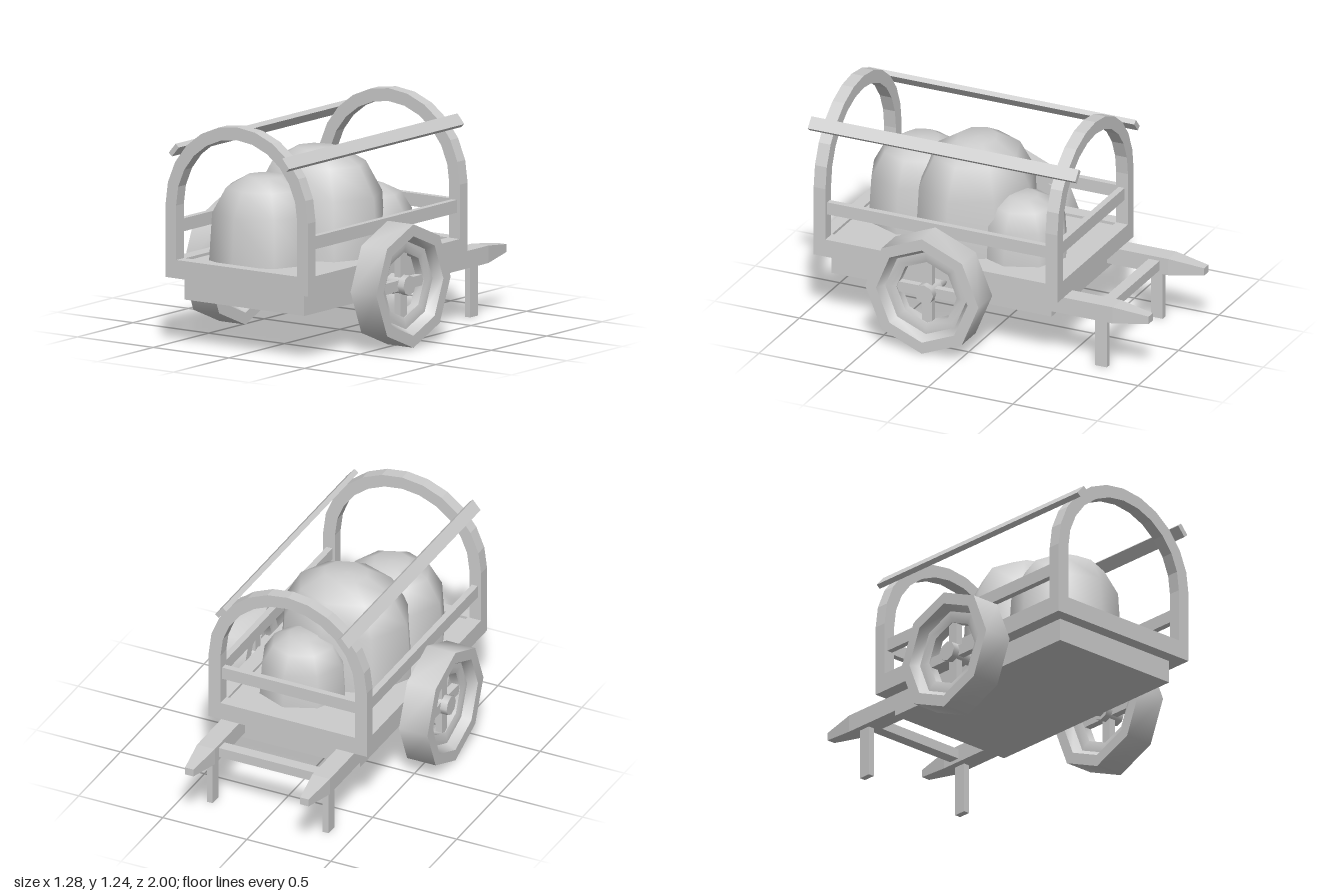
import * as THREE from 'three';
import { toCreasedNormals } from 'three/addons/utils/BufferGeometryUtils.js';

export function createModel() {
  const cart = new THREE.Group();
  cart.name = 'handcart';
  const mat = new THREE.MeshStandardMaterial({ color: 0xcccccc });

  const add = (name, geometry, parent = cart) => {
    const mesh = new THREE.Mesh(geometry, mat);
    mesh.name = name;
    parent.add(mesh);
    return mesh;
  };
  // box given by its lower and upper corners
  const box = (name, x0, x1, y0, y1, z0, z1, parent = cart) => {
    const mesh = add(name, new THREE.BoxGeometry(x1 - x0, y1 - y0, z1 - z0), parent);
    mesh.position.set((x0 + x1) / 2, (y0 + y1) / 2, (z0 + z1) / 2);
    return mesh;
  };

  // bed
  box('bed', -0.395, 0.395, 0.25, 0.46, -0.44, 0.86);
  box('frontBeam', -0.4, 0.4, 0.375, 0.475, 0.86, 0.93);
  box('rearBeam', -0.4, 0.4, 0.375, 0.475, -0.51, -0.44);
  box('rearRail', -0.4, 0.4, 0.615, 0.685, -0.49, -0.455);

  // arched hoops at both ends
  const hoop = new THREE.Shape();
  const arc = (r, i) => [r * Math.cos(i * Math.PI / 12), 0.77 + r * Math.sin(i * Math.PI / 12)];
  hoop.moveTo(0.47, 0.375);
  for (let i = 0; i <= 12; i++) hoop.lineTo(...arc(0.47, i));
  hoop.lineTo(-0.47, 0.375);
  hoop.lineTo(-0.4, 0.375);
  for (let i = 12; i >= 0; i--) hoop.lineTo(...arc(0.4, i));
  hoop.lineTo(0.4, 0.375);
  hoop.closePath();
  const hoopGeo = new THREE.ExtrudeGeometry(hoop, { depth: 0.07, bevelEnabled: false });
  add('frontHoop', hoopGeo).position.z = 0.86;
  add('rearHoop', hoopGeo).position.z = -0.51;

  // tapered handle shaft: the far end shrinks to a small tip
  const shaft = new THREE.BoxGeometry(0.105, 0.095, 2, 1, 1, 2);
  const p = shaft.attributes.position;
  for (let i = 0; i < p.count; i++) {
    const z = p.getZ(i);
    if (z < -0.5) p.setXYZ(i, p.getX(i) * 0.48, p.getY(i) * 0.45, -1);
    else p.setZ(i, z > 0.5 ? -0.44 : -0.8);
  }
  const shaftGeo = toCreasedNormals(shaft, 0.1);

  // wheel ring profile: tyre, sloped recess and inner rim on both faces
  const half = [[0.335, 0.085], [0.27, 0.085], [0.24, 0.035], [0.21, 0.035], [0.178, 0.025]];
  const profile = [
    ...half.map(([r, a]) => [r, -a]).reverse(),
    ...half,
    [0.178, -0.025],
  ].map(([r, a]) => new THREE.Vector2(r, a));
  const ringGeo = toCreasedNormals(new THREE.LatheGeometry(profile.reverse(), 8), 0.82);
  // profile runs counter to the lathe's outward direction, so check and fix the winding
  const outward = (g) => {
    const a = g.attributes.position, v = [0, 1, 2].map(() => new THREE.Vector3());
    let volume = 0;
    for (let i = 0; i < a.count; i += 3) {
      v.forEach((q, k) => q.fromBufferAttribute(a, i + k));
      volume += v[0].dot(v[1].clone().cross(v[2]));
    }
    return volume > 0;
  };
  const wheelGeo = outward(ringGeo) ? ringGeo
    : toCreasedNormals(new THREE.LatheGeometry(profile.reverse(), 8), 0.82);

  for (const [side, s] of [['left', 1], ['right', -1]]) {
    const span = (a, b) => (s > 0 ? [a, b] : [-b, -a]);
    box(side + 'SideBeam', ...span(0.39, 0.47), 0.375, 0.475, -0.44, 0.86);
    box(side + 'SideRail', ...span(0.415, 0.45), 0.615, 0.685, -0.44, 0.86);
    box(side + 'Leg', ...span(0.327, 0.362), 0, 0.3, -0.75, -0.68);
    add(side + 'Shaft', shaftGeo).position.set(s * 0.3425, 0.328, 0);

    // long pole resting on the hoops
    const pole = add(side + 'Pole', new THREE.BoxGeometry(0.028, 0.07, 1.58), );
    pole.position.set(s * 0.364, 1.086, 0.21);
    pole.rotation.z = s * 0.71;

    // wheel
    const wheel = new THREE.Group();
    wheel.name = side + 'Wheel';
    wheel.position.set(s * 0.555, 0.34, 0.21);
    add('ring', wheelGeo, wheel).rotation.z = -s * Math.PI / 2;
    const hub = add('hub', toCreasedNormals(new THREE.CylinderGeometry(0.055, 0.055, 0.12, 8), 0.82), wheel);
    hub.rotation.z = Math.PI / 2;
    box('verticalSpoke', -0.02, 0.02, -0.195, 0.195, -0.029, 0.029, wheel);
    box('crossSpoke', -0.02, 0.02, -0.029, 0.029, -0.195, 0.195, wheel);
    cart.add(wheel);
  }

  box('shaftCrossbar', -0.3, 0.3, 0.3, 0.355, -0.75, -0.685);
  const axle = add('axle', new THREE.CylinderGeometry(0.035, 0.035, 1.1, 8));
  axle.rotation.z = Math.PI / 2;
  axle.position.set(0, 0.34, 0.21);

  // rounded sacks: radius and height as fractions
  const sackProfile = [[1, 0], [0.945, 0.57], [0.7, 0.86], [0.33, 0.995], [0, 1]]
    .map(([r, y]) => new THREE.Vector2(r, y));
  const sackGeo = new THREE.LatheGeometry(sackProfile, 8);
  const sacks = [
    ['largeSack', 0, 0.19, 0.385, 0.565, 0.33],
    ['frontSack', -0.085, 0.56, 0.305, 0.457, 0.295],
    ['rearSack', 0.095, -0.13, 0.245, 0.327, 0.25],
  ];
  for (const [name, x, z, rx, h, rz] of sacks) {
    const sack = add(name, sackGeo);
    sack.position.set(x, 0.458, z);
    sack.scale.set(rx, h, rz);
  }

  return cart;
}
